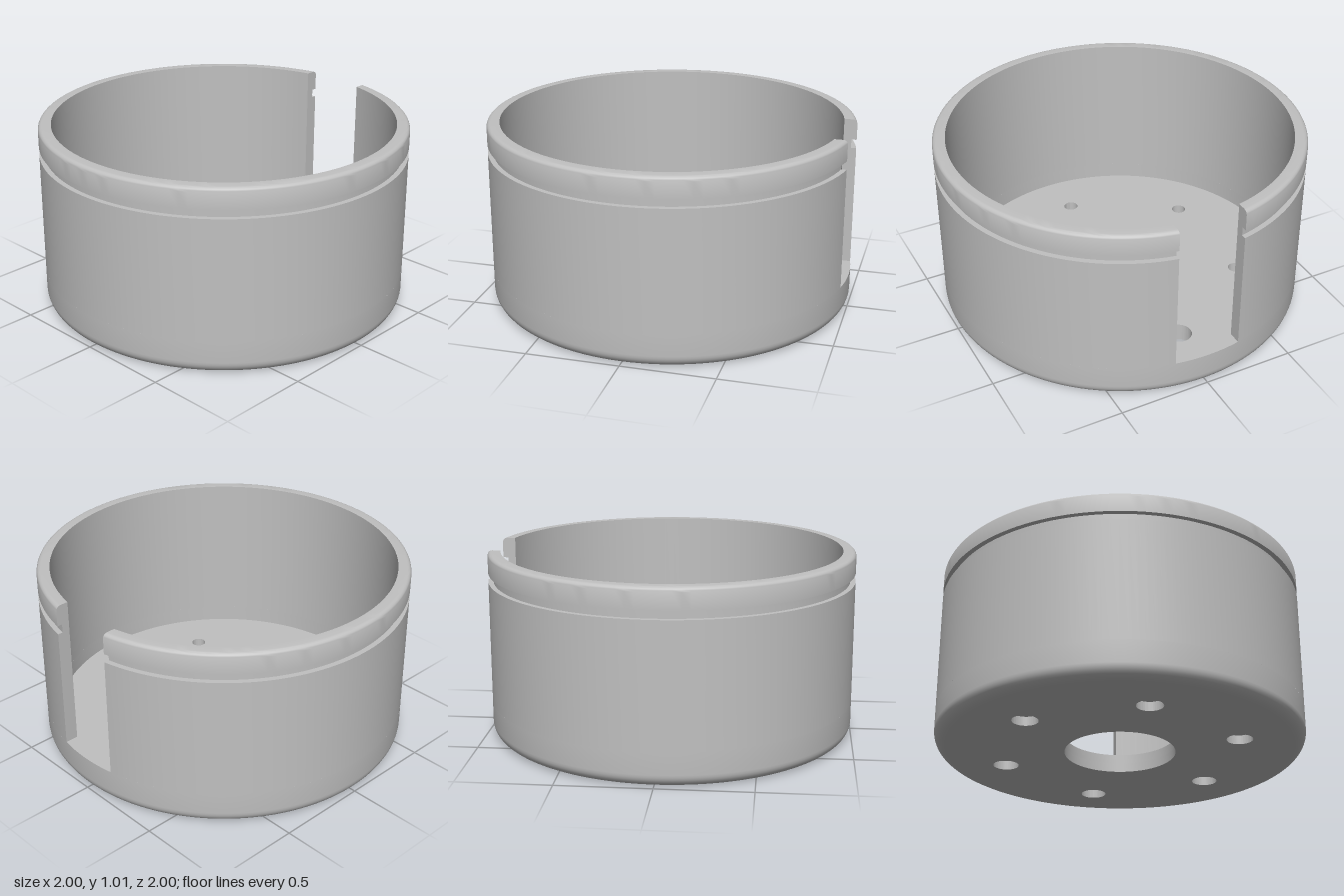
import * as THREE from 'three';
import { toCreasedNormals } from 'three/addons/utils/BufferGeometryUtils.js';

const R = 1, INNER = 0.93, FLOOR = 0.1, SILL = 0.19, TOP = 1.015, SLOT = 0.185;
const SEG = 128;

export function createModel() {
  const group = new THREE.Group();
  const grey = new THREE.MeshStandardMaterial({ color: 0xc0c0c0 });
  const add = (name, geometry) => {
    const mesh = new THREE.Mesh(geometry, grey);
    mesh.name = name;
    group.add(mesh);
    return mesh;
  };
  const v = (x, y) => new THREE.Vector2(x, y);

  // Quarter-round profile from angle a0 to a1
  const fillet = (cx, cy, r, a0, a1, n) => Array.from({ length: n + 1 }, (_, i) => {
    const a = a0 + (a1 - a0) * i / n;
    return v(cx + r * Math.cos(a), cy + r * Math.sin(a));
  });

  // Floor disc pierced by a centre hole, one large hole and five screw holes
  const plate = (y, height, screwRadius) => {
    const shape = new THREE.Shape().absarc(0, 0, INNER, 0, Math.PI * 2);
    const hole = (x, z, r) => shape.holes.push(new THREE.Path().absarc(x, z, r, 0, Math.PI * 2, true));
    hole(0, 0, 0.3);
    hole(0.69, 0, 0.07);
    for (let i = 1; i < 6; i++) {
      const a = i * Math.PI / 3;
      hole(0.66 * Math.cos(a), 0.66 * Math.sin(a), screwRadius);
    }
    const g = new THREE.ExtrudeGeometry(shape, { depth: height, bevelEnabled: false, curveSegments: 64 });
    g.rotateX(-Math.PI / 2).translate(0, y, 0);
    return toCreasedNormals(g, 0.5);
  };
  add('counterboredFloor', plate(0, FLOOR / 2, 0.07));
  add('upperFloor', plate(FLOOR / 2, FLOOR / 2, 0.04));

  // Rounded foot ring below the slot
  const foot = [
    ...fillet(INNER, 0.07, 0.07, -Math.PI / 2, 0, 8),
    v(R, SILL), v(INNER, SILL), v(INNER, FLOOR),
  ];
  add('footRing', toCreasedNormals(new THREE.LatheGeometry(foot, SEG), 0.5));

  // Wall with a groove near the rim, opened by a straight-sided slot at +x
  const wall = [
    v(R, SILL), v(R, 0.855), v(0.972, 0.855), v(0.972, 0.902), v(R, 0.902),
    ...fillet(R - 0.025, TOP - 0.025, 0.025, 0, Math.PI / 2, 5),
    v(INNER, TOP), v(INNER, SILL),
  ];
  const wallGeometry = new THREE.LatheGeometry(wall, SEG);
  const pos = wallGeometry.attributes.position;
  for (let k = 0; k < pos.count; k++) {
    const t = Math.floor(k / wall.length) / SEG;
    const p = wall[k % wall.length];
    const a = Math.asin(SLOT / p.x);
    const phi = Math.PI / 2 + a + t * (Math.PI * 2 - 2 * a);
    pos.setXYZ(k, p.x * Math.sin(phi), p.y, p.x * Math.cos(phi));
  }
  add('wall', toCreasedNormals(wallGeometry, 0.5));

  // Flat faces on both sides of the slot
  const section = new THREE.Shape(wall.map(p => v(Math.sqrt(p.x * p.x - SLOT * SLOT), p.y)));
  for (const side of [1, -1]) {
    const cheek = add(side > 0 ? 'slotFaceBack' : 'slotFaceFront',
      new THREE.ShapeGeometry(section).translate(0, 0, -SLOT));
    cheek.scale.z = side;
  }
  return group;
}
